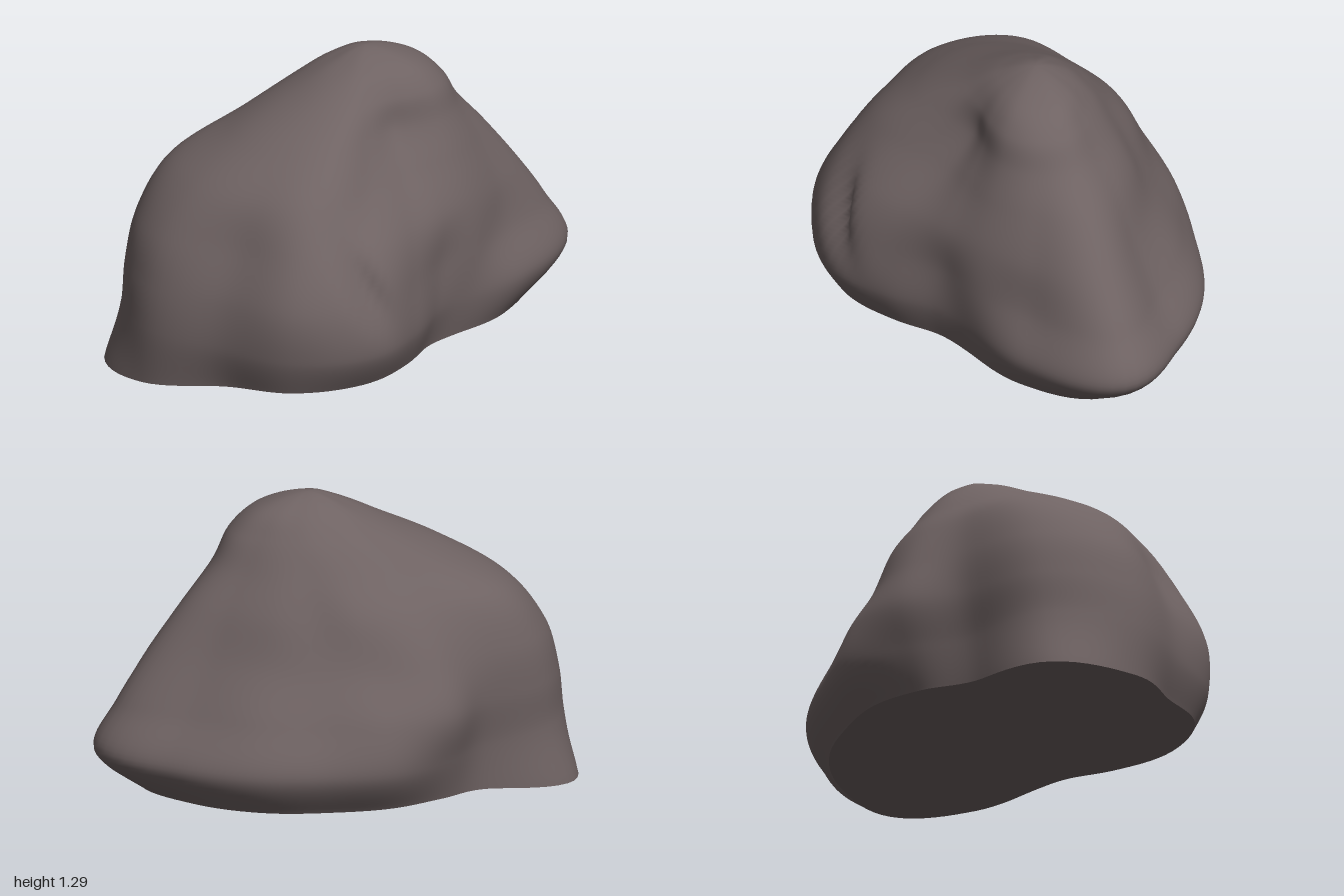
import * as THREE from 'three';

// Horizontal sections: height and 16 radii, turning from +x towards +z
const SECTIONS = [
  { y: 0.08, r: [0.68, 0.50, 0.45, 0.54, 0.69, 0.79, 0.80, 0.95, 0.98, 0.68, 0.64, 0.66, 0.68, 0.75, 0.82, 0.87] },
  { y: 0.25, r: [0.77, 0.54, 0.49, 0.60, 0.78, 0.86, 0.86, 0.97, 0.92, 0.69, 0.70, 0.75, 0.76, 0.83, 0.92, 1.05] },
  { y: 0.45, r: [0.66, 0.54, 0.48, 0.57, 0.77, 0.88, 0.86, 0.97, 0.92, 0.72, 0.74, 0.71, 0.67, 0.71, 0.77, 0.93] },
  { y: 0.65, r: [0.60, 0.51, 0.47, 0.51, 0.67, 0.81, 0.80, 0.93, 0.89, 0.70, 0.66, 0.58, 0.54, 0.56, 0.63, 0.77] },
  { y: 0.85, r: [0.50, 0.43, 0.37, 0.36, 0.46, 0.68, 0.73, 0.80, 0.78, 0.61, 0.54, 0.48, 0.43, 0.46, 0.51, 0.59] },
  { y: 1.00, r: [0.41, 0.36, 0.29, 0.26, 0.33, 0.50, 0.56, 0.58, 0.53, 0.45, 0.40, 0.36, 0.34, 0.36, 0.39, 0.44] },
  { y: 1.13, r: [0.34, 0.31, 0.26, 0.23, 0.25, 0.31, 0.34, 0.34, 0.32, 0.29, 0.27, 0.25, 0.25, 0.26, 0.29, 0.34] },
  { y: 1.23, r: [0.21, 0.20, 0.17, 0.15, 0.15, 0.16, 0.16, 0.16, 0.15, 0.15, 0.14, 0.14, 0.14, 0.15, 0.18, 0.21] },
  { y: 1.285, r: new Array(16).fill(0) },
];
const AROUND = 128, UP = 80;

function spline(a, b, c, d, t) {
  return b + 0.5 * t * (c - a + t * (2 * a - 5 * b + 4 * c - d + t * (3 * (b - c) + d - a)));
}

// Radius of one section at a fractional direction index
function ringRadius(r, u) {
  const i = Math.floor(u);
  return spline(r[(i + 15) % 16], r[i % 16], r[(i + 1) % 16], r[(i + 2) % 16], u - i);
}

// Value between sections; past the summit it mirrors so the top is rounded
function alongHeight(value, v) {
  const last = SECTIONS.length - 1;
  const i = Math.min(Math.floor(v), last - 1);
  const at = (k) => (k > last ? value(SECTIONS[last - 1], -1) : value(SECTIONS[Math.max(k, 0)], 1));
  return spline(at(i - 1), at(i), at(i + 1), at(i + 2), v - i);
}

function surfacePoint(u, v) {
  const angle = (u / 16) * Math.PI * 2;
  let y = alongHeight((s) => s.y, v);
  let r = alongHeight((s, sign) => sign * ringRadius(s.r, u), v);
  const cx = 0.095 * y, cz = -0.08 * y;
  // Slanting crevice in the front
  if (Math.sin(angle) > 0) {
    const dx = cx + r * Math.cos(angle) - (0.1 - 0.5 * (y - 0.37));
    r -= 0.06 * Math.exp(-((dx / 0.06) ** 2) - ((y - 0.52) / 0.17) ** 2);
  }
  const x = cx + r * Math.cos(angle), z = cz + r * Math.sin(angle);
  // Uneven foot, lowest at the right-hand corner
  const fade = Math.max(0, 1 - v);
  const dip = Math.exp(-((x + 1) ** 2) / 0.25 - ((z - 0.15) ** 2) / 0.4);
  y += fade * (0.03 * Math.max(z, 0) - 0.084 * dip);
  return [x, y, z];
}

function makeGeometry(positions, index) {
  const g = new THREE.BufferGeometry();
  g.setAttribute('position', new THREE.Float32BufferAttribute(positions, 3));
  g.setIndex(index);
  g.computeVertexNormals();
  return g;
}

export function createModel() {
  const stone = new THREE.MeshStandardMaterial({ color: 0x6e6262 });
  stone.name = 'warm grey stone';
  const group = new THREE.Group();
  group.name = 'boulder';

  // Weathered sides and summit
  const positions = [], index = [];
  for (let j = 0; j <= UP; j++) {
    for (let i = 0; i < AROUND; i++) {
      positions.push(...surfacePoint((i / AROUND) * 16, (j / UP) * (SECTIONS.length - 1)));
    }
  }
  for (let j = 0; j < UP; j++) {
    for (let i = 0; i < AROUND; i++) {
      const n = (i + 1) % AROUND;
      const a = j * AROUND + i, b = j * AROUND + n;
      const c = a + AROUND, d = b + AROUND;
      index.push(a, c, b, b, c, d);
    }
  }
  const body = new THREE.Mesh(makeGeometry(positions, index), stone);
  body.name = 'rockBody';

  // Nearly flat underside
  const rim = positions.slice(0, AROUND * 3);
  const fan = [];
  for (let i = 0; i < AROUND; i++) fan.push(AROUND, i, (i + 1) % AROUND);
  const base = new THREE.Mesh(makeGeometry([...rim, -0.15, 0.07, 0], fan), stone);
  base.name = 'underside';

  group.add(body, base);
  return group;
}
